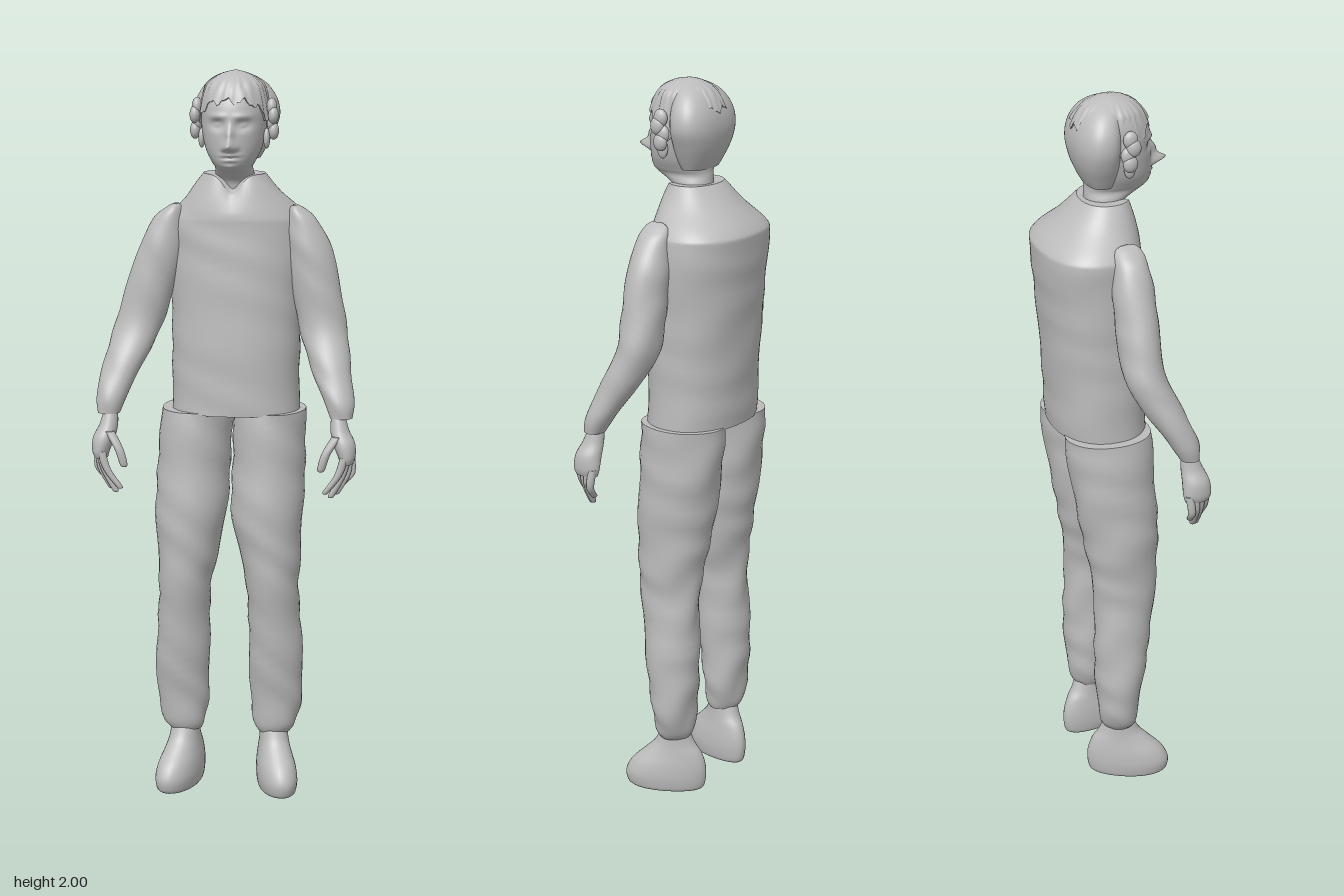
import * as THREE from 'three';

const clay = new THREE.MeshStandardMaterial({ color: 0xbcbcbc });
clay.name = 'plain grey';

// Catmull-Rom blend of two neighbouring cross-sections
function blend(rows, i, t) {
  const at = (k) => rows[Math.min(rows.length - 1, Math.max(0, k))];
  const [a, b, c, d] = [at(i - 1), at(i), at(i + 1), at(i + 2)];
  return b.map((v, k) => v + 0.5 * t * (c[k] - a[k] + t * (2 * a[k] - 5 * v + 4 * c[k] - d[k]
    + t * (3 * (v - c[k]) + d[k] - a[k]))));
}

// Skin over horizontal oval sections listed upwards: [y, centre x, half width, back z, front z]
function loft(name, rows, { sides = 32, steps = 6, power = 1, warp = null } = {}) {
  const pos = [], idx = [], rings = [];
  for (let i = 0; i < rows.length - 1; i++)
    for (let s = 0; s < steps; s++) rings.push(blend(rows, i, s / steps));
  rings.push(rows[rows.length - 1]);
  const p = new THREE.Vector3();
  const soft = (v) => Math.sign(v) * Math.abs(v) ** power;
  rings.forEach(([y, cx, hw, zb, zf]) => {
    for (let i = 0; i < sides; i++) {
      const a = (i / sides) * Math.PI * 2;
      p.set(cx + hw * soft(Math.sin(a)), y, (zb + zf) / 2 + ((zf - zb) / 2) * soft(Math.cos(a)));
      if (warp) warp(p, a, cx);
      pos.push(p.x, p.y, p.z);
    }
  });
  const n = rings.length;
  for (let j = 0; j < n - 1; j++)
    for (let i = 0; i < sides; i++) {
      const k = (i + 1) % sides, a = j * sides + i, b = j * sides + k;
      idx.push(a, b, b + sides, a, b + sides, a + sides);
    }
  // end caps on their own vertices keep the rims crisp
  for (const end of [0, n - 1]) {
    const base = pos.length / 3, c = [0, 0, 0];
    for (let i = 0; i < sides; i++)
      for (let k = 0; k < 3; k++) {
        const v = pos[(end * sides + i) * 3 + k];
        pos.push(v);
        c[k] += v / sides;
      }
    pos.push(...c);
    for (let i = 0; i < sides; i++) {
      const k = (i + 1) % sides;
      if (end) idx.push(base + i, base + k, base + sides);
      else idx.push(base + k, base + i, base + sides);
    }
  }
  const g = new THREE.BufferGeometry();
  g.setAttribute('position', new THREE.Float32BufferAttribute(pos, 3));
  g.setIndex(idx);
  g.computeVertexNormals();
  const m = new THREE.Mesh(g, clay);
  m.name = name;
  return m;
}

function ball(name, x, y, z, sx, sy, sz) {
  const m = new THREE.Mesh(new THREE.SphereGeometry(1, 20, 14), clay);
  m.name = name;
  m.position.set(x, y, z);
  m.scale.set(sx, sy, sz);
  return m;
}

// Soft wrinkles in cloth
const cloth = (amount) => (p, a, cx) => {
  const w = amount * Math.sin(p.y * 46 + 2 * Math.sin(a) + 1.5 * Math.sin(p.y * 17 + a * 2));
  p.x += w * Math.sin(a);
  p.z += w * Math.cos(a);
};

const bump = (x, y, sx, sy) => Math.exp(-((x / sx) ** 2) - (y / sy) ** 2);

// Nose, eyes, brows, lips and chin pushed out of the face
function face(p, a, cx) {
  const f = Math.cos(a);
  if (f <= 0) return;
  const x = p.x - cx, y = p.y, ax = Math.abs(x);
  p.z += f * (0.042 * bump(x, y - 1.808, 0.013, 0.013) + 0.02 * bump(x, y - 1.835, 0.01, 0.025)
    + 0.012 * bump(ax - 0.014, y - 1.802, 0.008, 0.008)
    - 0.016 * bump(ax - 0.035, y - 1.862, 0.02, 0.013)
    + 0.008 * bump(ax - 0.035, y - 1.862, 0.011, 0.006)
    + 0.006 * bump(ax - 0.035, y - 1.885, 0.024, 0.008)
    + 0.01 * bump(x, y - 1.783, 0.022, 0.005) + 0.009 * bump(x, y - 1.77, 0.018, 0.005)
    - 0.005 * bump(x, y - 1.7765, 0.024, 0.003) + 0.006 * bump(x, y - 1.753, 0.016, 0.009));
}

function buildHead() {
  const head = new THREE.Group();
  head.name = 'head';
  const c = 0.016;
  head.add(loft('faceAndNeck', [
    [1.64, c, 0.055, -0.055, 0.045], [1.70, c, 0.052, -0.05, 0.05], [1.725, c, 0.052, -0.05, 0.075],
    [1.745, c, 0.05, -0.05, 0.113], [1.76, c, 0.058, -0.05, 0.127], [1.79, c, 0.073, -0.055, 0.13],
    [1.83, c, 0.083, -0.07, 0.131], [1.87, c, 0.088, -0.078, 0.13], [1.91, c, 0.09, -0.075, 0.124],
    [1.95, c, 0.08, -0.062, 0.105], [1.98, c, 0.052, -0.03, 0.075], [1.99, c, 0.01, 0.01, 0.03],
  ], { sides: 96, steps: 9, warp: face }));

  // Rounded hair mass behind the ears
  head.add(loft('backHair', [
    [1.765, c, 0.066, -0.05, 0.02], [1.79, c, 0.08, -0.064, 0.03], [1.83, c, 0.1, -0.08, 0.036],
    [1.875, 0.018, 0.115, -0.087, 0.038], [1.92, 0.018, 0.109, -0.08, 0.038],
    [1.96, 0.018, 0.084, -0.058, 0.036], [1.985, 0.018, 0.048, -0.026, 0.034], [1.994, 0.018, 0.008, 0, 0.012],
  ], { sides: 48, power: 0.85 }));

  // Combed top hair with a ragged hairline falling to the temples
  head.add(loft('topHair', [
    [1.925, 0.018, 0.098, -0.082, 0.124], [1.95, 0.018, 0.087, -0.07, 0.112],
    [1.975, 0.018, 0.066, -0.05, 0.092], [1.991, 0.018, 0.038, -0.02, 0.063], [2.0, 0.018, 0.004, 0.01, 0.02],
  ], {
    sides: 96,
    warp: (p, a) => {
      const low = Math.max(0, (1.96 - p.y) / 0.035);
      const fade = Math.min(1, (2 - p.y) / 0.03);
      const strand = 0.002 * Math.sin(a * 23 + 2 * Math.sin(a * 5)) * fade;
      p.x += strand * Math.sin(a);
      p.z += strand * Math.cos(a);
      p.y -= low * (0.07 * Math.sin(a) ** 4 + 0.008 * Math.sin(a * 13) + 0.004 * Math.sin(a * 29));
    },
  }));

  for (const s of [-1, 1]) {
    const x = (d) => 0.018 + s * d;
    head.add(ball('ear', x(0.087), 1.822, 0.045, 0.009, 0.027, 0.016));
    // Curled locks beside the face
    for (let k = 0; k < 4; k++)
      head.add(ball('sideLock', x(0.1 + 0.005 * (k % 2)), 1.905 - 0.021 * k, 0.042 + 0.008 * Math.sin(k * 2), 0.014, 0.024, 0.02));
  }
  return head;
}

function buildArm(s) {
  const arm = new THREE.Group();
  arm.name = s > 0 ? 'leftArm' : 'rightArm';
  // the left upper arm sits slightly further out than the right one
  const d = s > 0 ? 0.035 : 0;
  arm.add(loft('sleeve', [
    [1.085, s * 0.315, 0.03, 0.095, 0.15], [1.13, s * 0.308, 0.042, 0.07, 0.148],
    [1.21, s * 0.283, 0.054, 0.015, 0.118], [1.31, s * (0.247 + d * 0.3), 0.065, -0.035, 0.077],
    [1.42, s * (0.213 + d * 0.7), 0.066, -0.042, 0.07], [1.53, s * (0.182 + d), 0.06, -0.042, 0.067],
    [1.6, s * (0.163 + d), 0.042, -0.034, 0.057], [1.63, s * (0.149 + d), 0.022, -0.024, 0.045],
    [1.642, s * (0.144 + d), 0.006, -0.008, 0.03],
  ], { warp: cloth(0.0015) }));

  const hand = new THREE.Group();
  hand.name = 'hand';
  hand.add(loft('palm', [
    [0.965, s * 0.333, 0.018, 0.105, 0.172], [0.985, s * 0.333, 0.024, 0.1, 0.178],
    [1.02, s * 0.325, 0.03, 0.1, 0.175], [1.055, s * 0.313, 0.025, 0.1, 0.16], [1.1, s * 0.308, 0.018, 0.1, 0.142],
  ], { sides: 20 }));
  const finger = (name, a, b, c, r) => hand.add(loft(name, [
    [c[1] - r * 0.5, s * c[0], r * 0.2, c[2] - r * 0.2, c[2] + r * 0.2],
    ...[c, b, a].map(([x, y, z], k) => [y, s * x, r * (0.8 + 0.15 * k), z - r * (0.8 + 0.15 * k), z + r * (0.8 + 0.15 * k)]),
  ], { sides: 12, steps: 4 }));
  const reach = [0.905, 0.885, 0.878, 0.89];
  for (let k = 0; k < 4; k++)
    finger('finger', [0.341 - 0.004 * k, 0.985, 0.114 + 0.017 * k],
      [0.345 - 0.011 * k, 0.935, 0.12 + 0.016 * k], [0.322 - 0.014 * k, reach[k], 0.124 + 0.014 * k], 0.011);
  finger('thumb', [0.308, 1.04, 0.155], [0.28, 0.995, 0.17], [0.267, 0.952, 0.17], 0.013);
  arm.add(hand);
  return arm;
}

function buildLeg(s) {
  const leg = new THREE.Group();
  leg.name = s > 0 ? 'leftLeg' : 'rightLeg';
  const o = s > 0 ? 0.018 : 0; // small sideways lean of the hips
  leg.add(loft('trouserLeg', [
    [0.16, s * 0.124, 0.044, -0.044, 0.034], [0.19, s * 0.128, 0.06, -0.058, 0.046],
    [0.27, s * 0.131, 0.073, -0.068, 0.056], [0.4, s * 0.13, 0.074, -0.074, 0.076],
    [0.58, s * 0.122, 0.072, -0.072, 0.099], [0.68, s * 0.114, 0.085, -0.084, 0.108],
    [0.8, s * 0.105, 0.099, -0.105, 0.112], [0.95, s * 0.098 + o * 0.6, 0.1, -0.13, 0.104],
    [1.08, s * 0.09 + o, 0.098, -0.145, 0.097],
  ], { warp: cloth(0.0025) }));

  // Shoe, wider at the toe and turned outwards
  const shoe = loft('shoe', [
    [0, 0, 0.046, -0.075, 0.125], [0.01, 0, 0.051, -0.086, 0.136], [0.04, 0, 0.055, -0.092, 0.14],
    [0.075, 0, 0.053, -0.09, 0.122], [0.11, 0, 0.047, -0.078, 0.085], [0.14, 0, 0.043, -0.058, 0.055],
    [0.18, 0, 0.041, -0.042, 0.036],
  ], { warp: (p) => { p.x *= 0.93 + 1.3 * p.z; } });
  shoe.position.set(s * 0.125, 0, 0);
  shoe.rotation.y = s * 0.33;
  leg.add(shoe);
  return leg;
}

export function createModel() {
  const figure = new THREE.Group();
  figure.name = 'standingFigure';

  // Loose top with sloping shoulders and a dipped neckline
  const wrinkle = cloth(0.0015);
  figure.add(loft('torso', [
    [1.075, 0.015, 0.175, -0.15, 0.106], [1.2, 0.015, 0.174, -0.156, 0.104], [1.35, 0.016, 0.177, -0.166, 0.101],
    [1.5, 0.018, 0.184, -0.178, 0.095], [1.585, 0.018, 0.187, -0.185, 0.091], [1.615, 0.018, 0.176, -0.176, 0.089],
    [1.67, 0.015, 0.126, -0.119, 0.078], [1.725, 0.013, 0.083, -0.065, 0.065],
  ], {
    sides: 64, power: 0.9,
    warp: (p, a, cx) => {
      wrinkle(p, a, cx);
      if (p.y > 1.62 && p.z > 0) p.y -= (p.y - 1.62) * 0.5 * bump(p.x - 0.015, 0, 0.03, 1);
    },
  }));
  figure.add(buildHead());
  for (const s of [-1, 1]) figure.add(buildArm(s), buildLeg(s));
  return figure;
}
